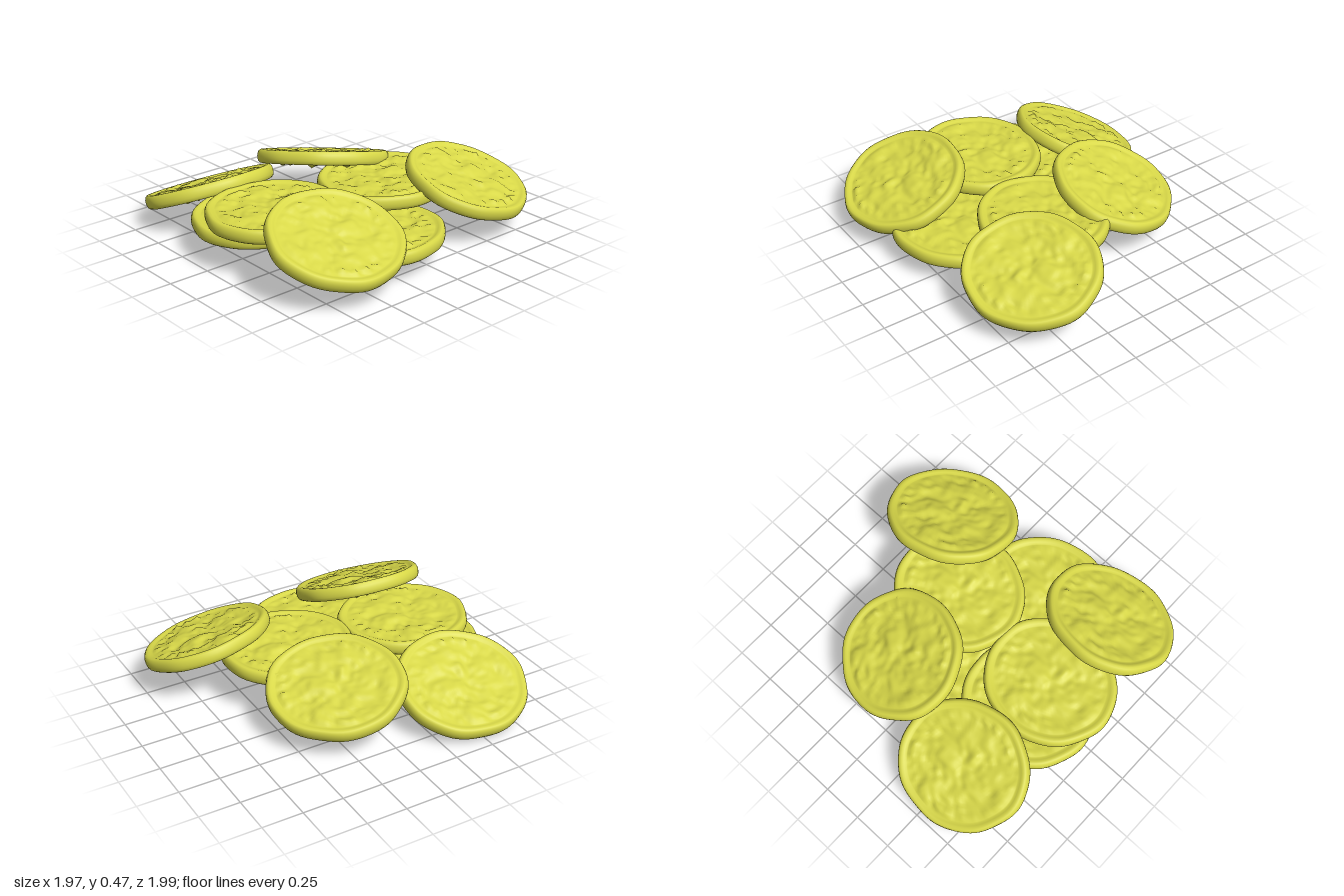
import * as THREE from 'three';
import { mergeVertices } from 'three/addons/utils/BufferGeometryUtils.js';

const RX = 0.38, RZ = 0.413; // slightly oval coin

// Smooth lattice noise in 0..1
function hash(i, j) {
  const s = Math.sin(i * 127.1 + j * 311.7) * 43758.5453;
  return s - Math.floor(s);
}
function noise(x, y) {
  const i = Math.floor(x), j = Math.floor(y);
  const u = THREE.MathUtils.smoothstep(x - i, 0, 1), v = THREE.MathUtils.smoothstep(y - j, 0, 1);
  const lerp = THREE.MathUtils.lerp;
  return lerp(lerp(hash(i, j), hash(i + 1, j), u), lerp(hash(i, j + 1), hash(i + 1, j + 1), u), v);
}

// Worn relief on a face: a lumpy middle and a ring of beads, fading out at the rim
function relief(x, z, seed) {
  const r = Math.hypot(x, z), a = Math.atan2(z, x);
  const fade = 1 - THREE.MathUtils.smoothstep(r, 0.76, 0.87);
  const lumps = 0.022 * (noise(x * 4 + seed, z * 4 - seed) - 0.4)
    + 0.02 * (noise(x * 10 + seed, z * 10 + seed) - 0.5);
  const beads = 0.012 * Math.exp(-(((r - 0.76) / 0.05) ** 2)) * Math.max(0, Math.sin(a * 26));
  return lumps * fade + beads;
}

function coinGeometry() {
  // Unit-radius profile from the bottom centre, round the rim, to the top centre
  const rim = [[0.86, 0.031], [0.89, 0.037], [0.92, 0.042], [0.955, 0.042], [0.98, 0.034], [0.996, 0.018]];
  const top = [];
  for (let i = 0; i < 24; i++) top.push([i * 0.84 / 23, 0.031]);
  const half = [...top, ...rim];
  const points = [
    ...half.map(([r, y]) => new THREE.Vector2(r, -y)),
    new THREE.Vector2(1, 0),
    ...half.reverse().map(([r, y]) => new THREE.Vector2(r, y)),
  ];
  let geo = new THREE.LatheGeometry(points, 80);
  geo.deleteAttribute('uv');
  geo.deleteAttribute('normal');
  geo = mergeVertices(geo, 1e-5);

  const p = geo.attributes.position;
  for (let i = 0; i < p.count; i++) {
    const x = p.getX(i), y = p.getY(i), z = p.getZ(i);
    const r = Math.hypot(x, z), a = Math.atan2(z, x);
    let h = y;
    if (r < 0.87) h += y > 0 ? relief(x, z, 3.3) : -1.2 * relief(x, z, 17.7) - 0.004;
    // hand-struck, uneven outline
    const wobble = 1 + r * r * (0.008 * Math.sin(5 * a + 1) + 0.006 * Math.sin(9 * a));
    p.setXYZ(i, x * RX * wobble, h, z * RZ * wobble);
  }
  geo.computeVertexNormals();
  return geo;
}

export function createModel() {
  const pile = new THREE.Group();
  pile.name = 'coinPile';
  const geometry = coinGeometry();
  const material = new THREE.MeshStandardMaterial({ color: 0xd8d848 });
  const up = new THREE.Vector3(0, 1, 0);

  // name, centre, face direction, turn about the coin's own axis
  const coins = [
    ['bottomCoin', [-0.08, 0.065, 0.075], [0, 1, 0], 0],
    ['lowerFrontCoin', [-0.085, 0.185, 0.555], [0, 1, 0], 0.03],
    ['lowerLeftCoin', [0.51, 0.165, 0.17], [0, 1, 0], 0],
    ['upperFrontCoin', [0.085, 0.28, 0.575], [0, 1, 0], -0.05],
    ['upperBackCoin', [0.14, 0.28, -0.215], [0, 1, 0], 0.05],
    ['leaningFrontRightCoin', [-0.625, 0.2, 0.53], [-0.41, 1, 0], 0],
    ['leaningFrontLeftCoin', [0.625, 0.29, 0.575], [0.41, 1, 0], 0],
    ['leaningBackRightCoin', [-0.395, 0.285, -0.19], [-0.25, 1, -0.23], -0.6],
    ['leaningBackLeftCoin', [0.48, 0.285, -0.59], [0.31, 1, -0.18], 0.35],
  ];
  for (const [name, centre, facing, turn] of coins) {
    const coin = new THREE.Mesh(geometry, material);
    coin.name = name;
    coin.position.set(...centre);
    coin.quaternion.setFromUnitVectors(up, new THREE.Vector3(...facing).normalize());
    coin.rotateY(turn);
    pile.add(coin);
  }
  return pile;
}
